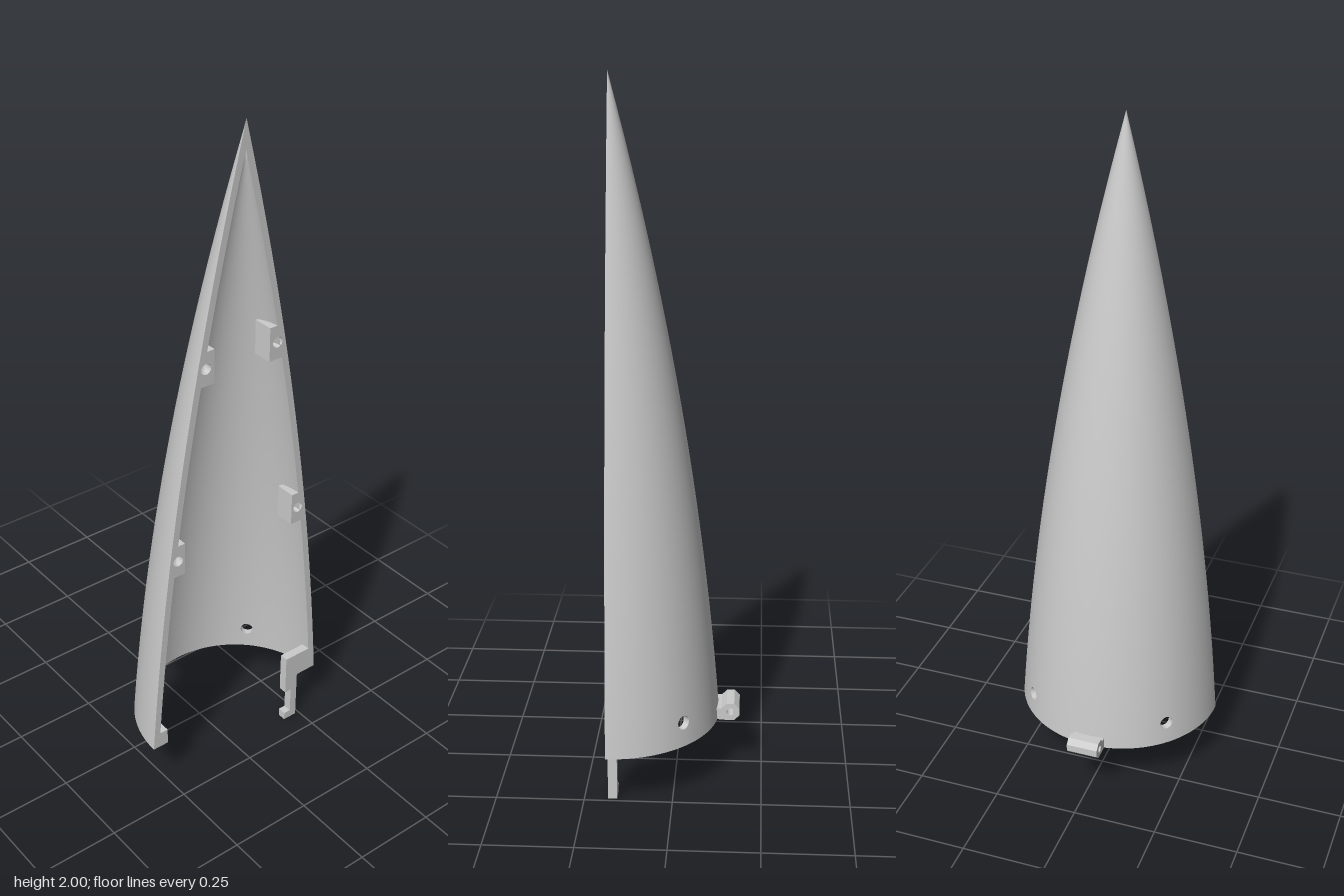
import * as THREE from 'three';
import { ParametricGeometry } from 'three/addons/geometries/ParametricGeometry.js';

const FACE = 0.183;            // z of the flat split plane and of the cone axis
const BASE = 0.16, TIP = 2, BAND = 0.3, WALL = 0.02;
const INNER_TIP = 1.922;
const PORT = { y: 0.23, r: 0.02, half: 0.2 };
const LUGS = [
  { y0: 0.745, y1: 0.845, x: 0.19, hx: 0.213 },
  { y0: 1.31, y1: 1.41, x: 0.092, hx: 0.119 },
];
const LUG_HOLE = 0.016, LUG_DEPTH = 0.06;

const material = new THREE.MeshStandardMaterial({ color: 0xcccccc, side: THREE.DoubleSide });

// curved nose profile
const rOut = (y) => {
  const s = (TIP - y) / (TIP - BASE);
  return Math.max(0.307 * (2 * s - 0.72 * s * s) / 1.28, 0.0003);
};
const rIn = (y) => Math.max(rOut(y) - WALL, 0.0003);
const place = (r, phi, y, target) => target.set(r * Math.cos(phi), y, FACE - r * Math.sin(phi));

function add(parent, name, geometry) {
  const mesh = new THREE.Mesh(geometry, material);
  mesh.name = name;
  parent.add(mesh);
  return mesh;
}

function polygon(points, sx = 1) {
  return new THREE.Shape(points.map(([x, y]) => new THREE.Vector2(x * sx, y)));
}

function hole(x, y, r) {
  return new THREE.Path().absarc(x, y, r, 0, Math.PI * 2, true);
}

// flat plate whose front lies on the split plane; its outer edge stays within the shell
function plate(points, depth, sx, holes = []) {
  const shape = polygon(points, sx);
  shape.holes.push(...holes);
  const geo = new THREE.ExtrudeGeometry(shape, { depth, bevelEnabled: false, curveSegments: 16 });
  const p = geo.attributes.position;
  for (let i = 0; i < p.count; i++) {
    const d = depth - p.getZ(i), r = rOut(Math.max(p.getY(i), BASE)) - 0.002;
    const limit = Math.sqrt(r * r - d * d);
    p.setX(i, THREE.MathUtils.clamp(p.getX(i), -limit, limit));
  }
  geo.translate(0, 0, FACE - depth);
  geo.computeVertexNormals();
  return geo;
}

// point between the round port (t = 0) and the rectangle around it (t = 1)
function portPoint(phi0, a, t) {
  const c = Math.cos(a), s = Math.sin(a), k = 1 / Math.max(Math.abs(c), Math.abs(s));
  return [
    phi0 + THREE.MathUtils.lerp(PORT.r / 0.3 * c, PORT.half * c * k, t),
    PORT.y + THREE.MathUtils.lerp(PORT.r * s, (BAND - PORT.y) * s * k, t),
  ];
}

// one skin of the half shell, with two round ports near the base
function addSkin(group, name, radius, top, outward) {
  const turn = (u) => (outward ? u : 1 - u);
  const panel = (a, b, y0, y1, nu, nv) => add(group, name, new ParametricGeometry((u, v, t) => {
    const y = y0 + (y1 - y0) * v;
    place(radius(y), a + (b - a) * turn(u), y, t);
  }, nu, nv));
  const q = Math.PI / 4, h = PORT.half;
  panel(0, Math.PI, BAND, top, 72, 48);
  panel(0, q - h, BASE, BAND, 14, 4);
  panel(q + h, 3 * q - h, BASE, BAND, 28, 4);
  panel(3 * q + h, Math.PI, BASE, BAND, 14, 4);
  for (const phi0 of [q, 3 * q]) {
    add(group, name, new ParametricGeometry((u, v, t) => {
      const [phi, y] = portPoint(phi0, Math.PI * 2 * (1 - turn(u)), v);
      place(radius(y), phi, y, t);
    }, 48, 6));
  }
}

// flat split face of one side, stepping inwards at the lugs
function rimFace(sx) {
  const pts = [], N = 48;
  for (let i = 0; i <= N; i++) {
    const y = BASE + (TIP - BASE) * i / N;
    pts.push([i === N ? 0 : rOut(y), y]);
  }
  pts.push([0, INNER_TIP]);
  let top = INNER_TIP;
  const wallDown = (from, to) => {
    for (let i = 1; i <= 14; i++) {
      const y = from + (to - from) * i / 14;
      pts.push([rIn(y), y]);
    }
  };
  for (const l of [...LUGS].reverse()) {
    wallDown(top, l.y1);
    pts.push([l.x, l.y1], [l.x, l.y0], [rIn(l.y0), l.y0]);
    top = l.y0;
  }
  wallDown(top, BASE);
  const shape = polygon(pts, sx);
  for (const l of LUGS) shape.holes.push(hole(sx * l.hx, (l.y0 + l.y1) / 2, LUG_HOLE));
  return new THREE.ShapeGeometry(shape, 16).translate(0, 0, FACE);
}

export function createModel() {
  const model = new THREE.Group();
  model.name = 'halfNoseCone';

  // shell
  const shell = new THREE.Group();
  shell.name = 'shell';
  model.add(shell);
  addSkin(shell, 'outerSkin', rOut, TIP, true);
  addSkin(shell, 'innerSkin', rIn, INNER_TIP, false);
  add(shell, 'baseEdge', new ParametricGeometry((u, v, t) =>
    place(rIn(BASE) + WALL * v, Math.PI * u, BASE, t), 72, 1));
  for (const phi0 of [Math.PI / 4, 3 * Math.PI / 4]) {
    add(shell, 'portWall', new ParametricGeometry((u, v, t) => {
      const [phi, y] = portPoint(phi0, Math.PI * 2 * u, 0);
      place(rIn(y) + WALL * v, phi, y, t);
    }, 48, 1));
  }

  // split face and screw lugs on both sides
  for (const sx of [1, -1]) {
    add(shell, 'rimFace', rimFace(sx));
    for (const l of LUGS) {
      const y = (l.y0 + l.y1) / 2;
      const outline = [[l.x, l.y0], [rOut(l.y0) - 0.002, l.y0], [rOut(l.y1) - 0.002, l.y1], [l.x, l.y1]];
      add(model, 'screwLug', plate(outline, LUG_DEPTH, sx, [hole(sx * l.hx, y, LUG_HOLE)]));
      add(model, 'lugHoleFloor', new THREE.CircleGeometry(LUG_HOLE, 24))
        .position.set(sx * l.hx, y, FACE - LUG_DEPTH + 0.01);
    }
  }

  // latch arm with a hooked end
  add(model, 'latchArm', plate([
    [0.193, 0.24], [0.193, 0.11], [0.215, 0.11], [0.215, 0.025], [0.193, 0.025], [0.193, 0],
    [0.238, 0], [0.238, BASE], [0.305, BASE], [rOut(0.24) - 0.002, 0.24],
  ], 0.026, 1));

  // catch block on the opposite side
  add(model, 'catchBlock', plate([
    [0.257, BASE], [0.305, BASE], [rOut(0.21) - 0.002, 0.21], [0.257, 0.21],
  ], 0.045, -1));

  // octagonal hinge knuckle at the back
  const cu = 0.158, cy = 0.183, a = 0.026, k = 0.0108;
  const hinge = polygon([
    [0.11, BASE], [cu - k, cy - a], [cu + k, cy - a], [cu + a, cy - k], [cu + a, cy + k],
    [cu + k, cy + a], [cu - k, cy + a], [cu - a, cy + k], [0.11, cy + k],
  ]);
  hinge.holes.push(hole(cu, cy, 0.011));
  add(model, 'hingeKnuckle', new THREE.ExtrudeGeometry(hinge, { depth: 0.094, bevelEnabled: false })
    .rotateY(Math.PI / 2).translate(-0.047, 0, 0));

  return model;
}
